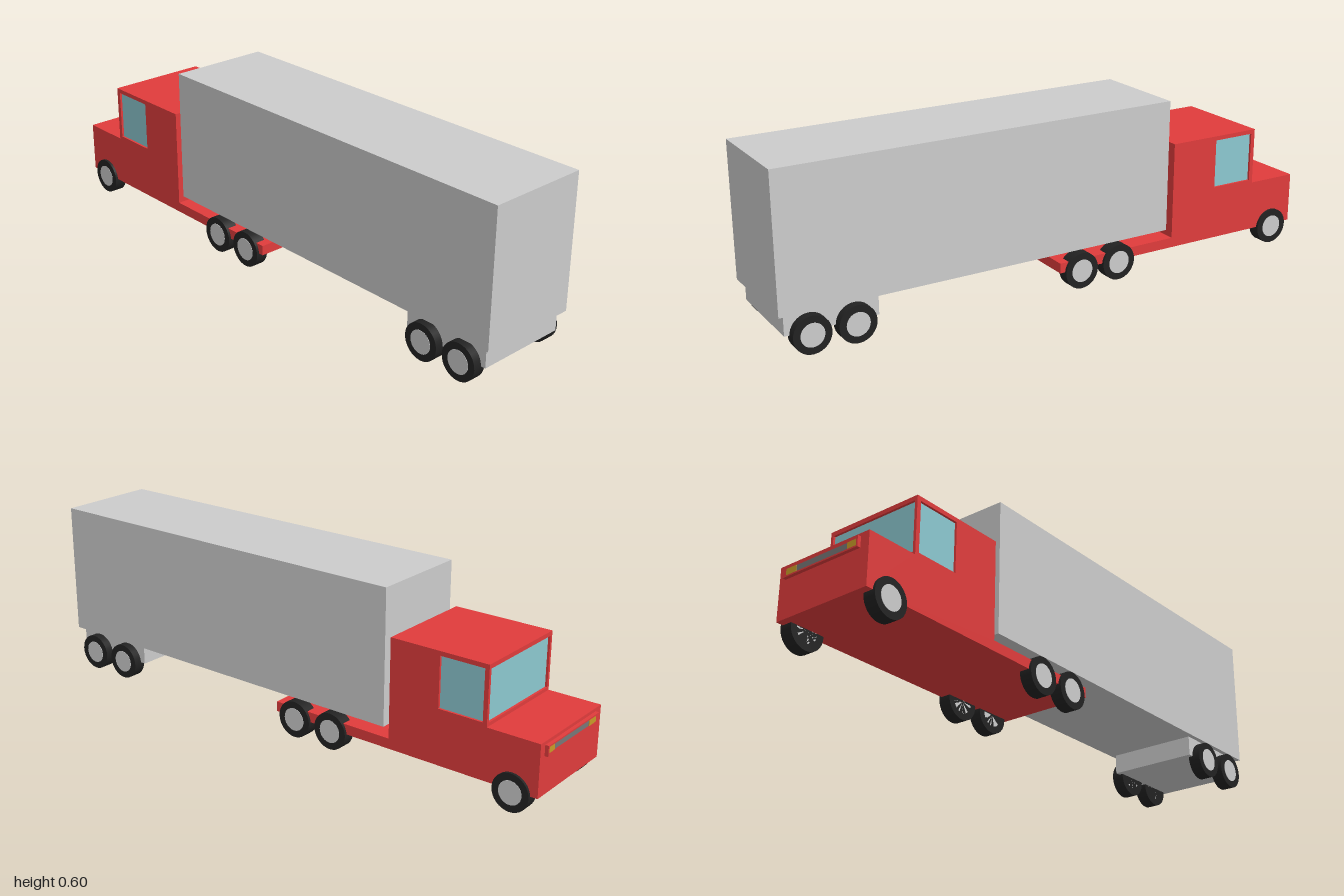
import * as THREE from 'three';

const mat = (color) => new THREE.MeshStandardMaterial({ color });
const red = mat(0xe03c3c), grey = mat(0xcccccc), glass = mat(0x8cc8d0);
const black = mat(0x222222), amber = mat(0xc89a28), dark = mat(0x777777);

const HALF = 0.182;   // half width of the tractor
const SKIN = 0.01;    // depth of the window recesses

function add(parent, name, geometry, material, x = 0, y = 0, z = 0) {
  const mesh = new THREE.Mesh(geometry, material);
  mesh.name = name;
  mesh.position.set(x, y, z);
  parent.add(mesh);
  return mesh;
}

// box given by its limits
function box(parent, name, material, [x0, x1], [y0, y1], [z0, z1]) {
  return add(parent, name, new THREE.BoxGeometry(x1 - x0, y1 - y0, z1 - z0), material,
    (x0 + x1) / 2, (y0 + y1) / 2, (z0 + z1) / 2);
}

const polygon = (points) => points.map(([x, y]) => new THREE.Vector2(x, y));
const rect = (x0, x1, y0, y1) => polygon([[x0, y0], [x0, y1], [x1, y1], [x1, y0]]);
const extrude = (shape, depth) => new THREE.ExtrudeGeometry(shape, { depth, bevelEnabled: false });

// side outline of cab, bonnet and chassis; notch is the depth of the windscreen recess
function sideShape(notch) {
  const screen = notch
    ? [[-0.805, 0.43], [-0.805 + notch, 0.43], [-0.805 + notch, 0.257], [-0.805, 0.257]] : [];
  return new THREE.Shape(polygon([
    [-0.988, 0.068], [0.012, 0.068], [0.012, 0.103], [-0.45, 0.103],
    [-0.45, 0.445], [-0.805, 0.445], ...screen, [-0.805, 0.245], [-0.988, 0.245],
  ]));
}

function buildTractor() {
  const tractor = new THREE.Group();
  tractor.name = 'tractor';

  // solid core, with the recess for the windscreen
  const inner = HALF - SKIN;
  add(tractor, 'cabCore', extrude(sideShape(SKIN), inner * 2), red, 0, 0, -inner);
  box(tractor, 'windscreen', glass, [-0.797, -0.794], [0.257, 0.43], [-inner, inner]);

  // outer skins with the side window openings
  const skin = sideShape(0);
  skin.holes.push(new THREE.Path(rect(-0.79, -0.632, 0.257, 0.43)));
  for (const side of [1, -1]) {
    add(tractor, 'cabSide', extrude(skin, SKIN), red, 0, 0, side > 0 ? inner : -HALF);
    const z = side * (inner + 0.001);
    box(tractor, 'sideWindow', glass, [-0.79, -0.632], [0.257, 0.43], [z - 0.001, z + 0.001]);
  }

  // grille frame with lamps at its ends
  const frame = new THREE.Shape(rect(-0.153, 0.153, 0.198, 0.234));
  frame.holes.push(new THREE.Path(rect(-0.147, 0.147, 0.203, 0.229)));
  const grille = new THREE.Group();
  grille.name = 'grille';
  grille.position.set(-0.988, 0, -0.004);
  add(grille, 'grilleFrame', extrude(frame, 0.012), red).rotation.y = -Math.PI / 2;
  box(grille, 'grillePanel', dark, [-0.004, 0], [0.203, 0.229], [-0.105, 0.105]);
  for (const side of [1, -1]) {
    const z = side * 0.126;
    box(grille, 'headlamp', amber, [-0.006, 0], [0.203, 0.229], [z - 0.021, z + 0.021]);
  }
  tractor.add(grille);
  return tractor;
}

function buildTrailer() {
  const trailer = new THREE.Group();
  trailer.name = 'trailer';
  box(trailer, 'cargoBox', grey, [-0.427, 1], [0.136, 0.6], [-0.179, 0.179]);
  box(trailer, 'bogie', grey, [0.667, 0.98], [0.066, 0.136], [-0.162, 0.162]);
  return trailer;
}

// tyre and hub, outer face towards +z
function buildWheel() {
  const wheel = new THREE.Group();
  wheel.name = 'wheel';
  const disc = (r, d) => new THREE.CylinderGeometry(r, r, d, 32).rotateX(Math.PI / 2);
  add(wheel, 'tyre', disc(0.0635, 0.044), black);
  add(wheel, 'hub', disc(0.04, 0.045), grey, 0, 0, 0.0005);
  return wheel;
}

export function createModel() {
  const model = new THREE.Group();
  model.name = 'articulatedTruck';
  model.add(buildTractor(), buildTrailer());
  for (const x of [-0.9, -0.22, -0.07, 0.75, 0.9]) {
    for (const side of [1, -1]) {
      const wheel = buildWheel();
      wheel.position.set(x, 0.0635, side * 0.169);
      if (side < 0) wheel.rotation.y = Math.PI;
      model.add(wheel);
    }
  }
  return model;
}
